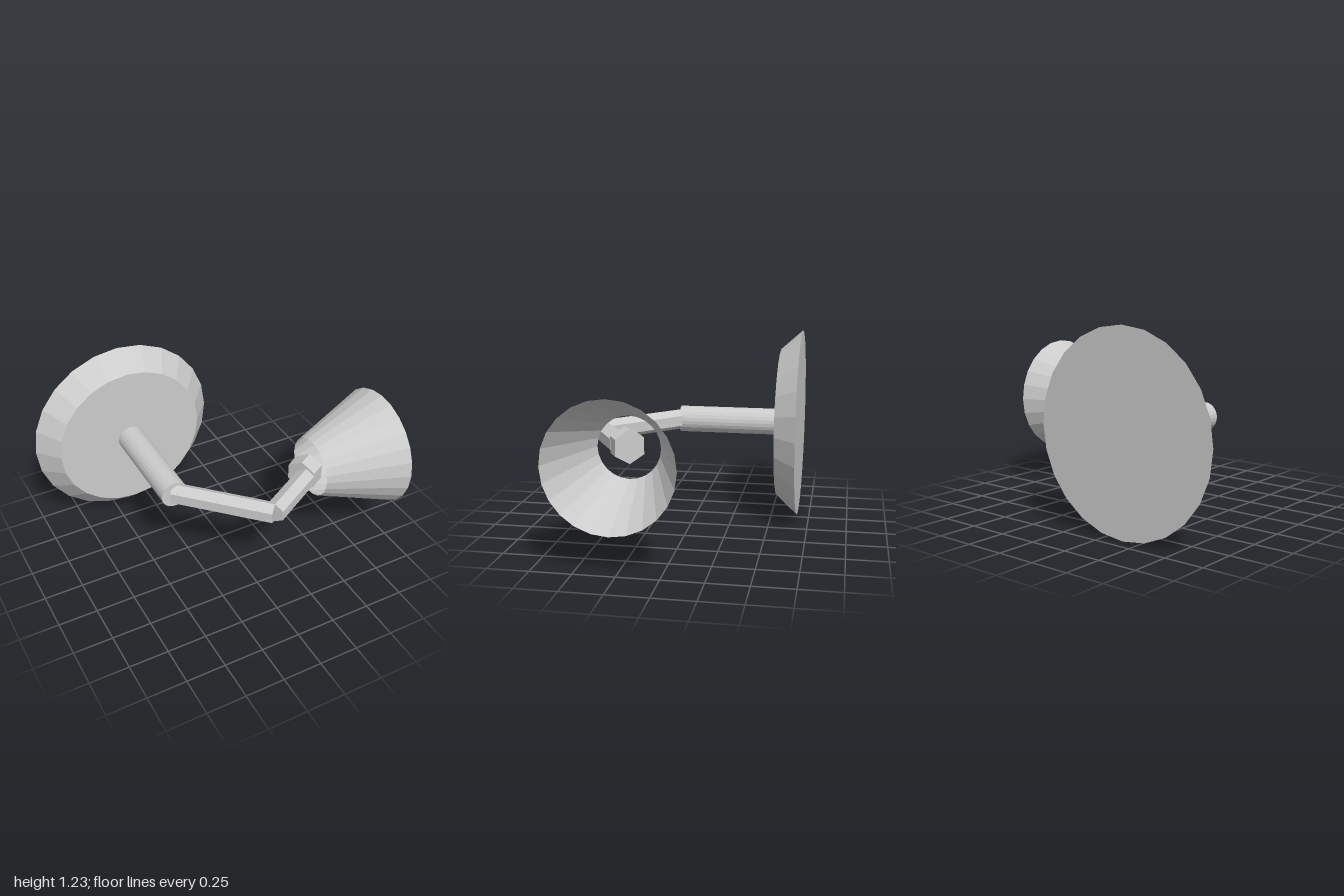
import * as THREE from 'three';

const Y = 0.614; // height of the shared centre line

// Straight prism or cone between two points [x, z] at height Y, with one corner pointing up
function bar(name, a, b, rA, rB, sides, open = false) {
  const start = new THREE.Vector3(a[0], Y, a[1]);
  const end = new THREE.Vector3(b[0], Y, b[1]);
  const dir = end.clone().sub(start);
  const length = dir.length();
  dir.normalize();
  const up = new THREE.Vector3(0, 1, 0);
  const geometry = new THREE.CylinderGeometry(rB, rA, length, sides, 1, open);
  const basis = new THREE.Matrix4().makeBasis(dir.clone().cross(up), dir, up);
  basis.setPosition(start.add(end).multiplyScalar(0.5));
  geometry.applyMatrix4(basis);
  const material = new THREE.MeshStandardMaterial({
    color: 0xcccccc,
    flatShading: true,
    side: open ? THREE.DoubleSide : THREE.FrontSide,
  });
  const mesh = new THREE.Mesh(geometry, material);
  mesh.name = name;
  return mesh;
}

export function createModel() {
  const group = new THREE.Group();
  group.name = 'wallLamp';
  const elbow = [0.064, 0.566];

  group.add(
    // Bevelled wall plate and the round stem standing out from it
    bar('wallPlate', [-0.389, -0.673], [-0.389, -0.535], 0.614, 0.49, 24),
    bar('stem', [-0.389, -0.535], [-0.389, 0.134], 0.087, 0.087, 24),
    // Two hexagonal arms meeting at the elbow
    bar('lowerArm', [-0.389, 0.113], elbow, 0.067, 0.067, 6),
    bar('upperArm', elbow, [0.42, 0.36], 0.067, 0.067, 6),
    // Hexagonal socket reaching into the shade
    bar('socket', [0.393, 0.337], [0.483, 0.285], 0.104, 0.104, 6),
    // Conical shade, open at both ends
    bar('shade', [0.493, 0.286], [1, 0.286], 0.193, 0.385, 24, true),
  );
  return group;
}
